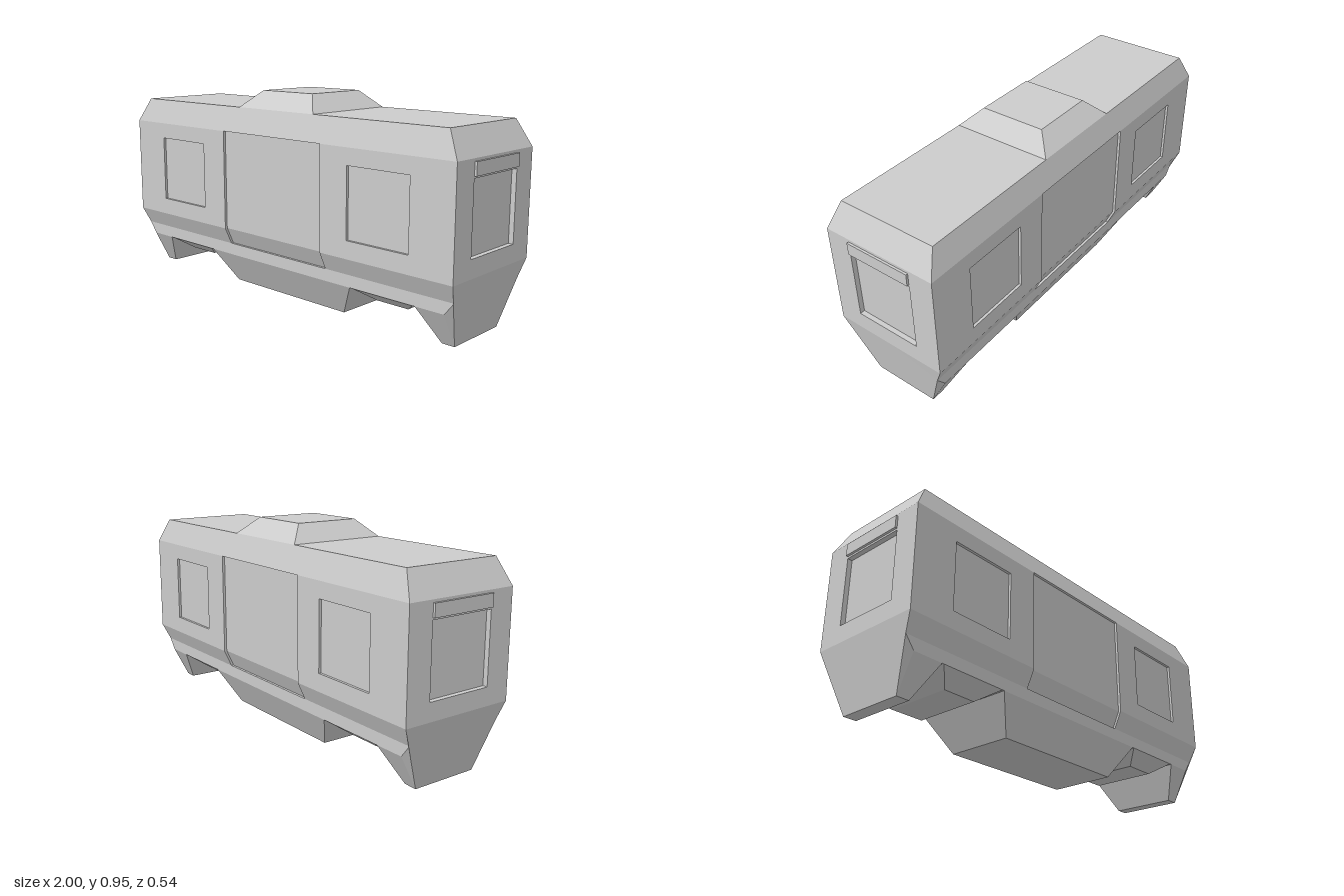
import * as THREE from 'three';

const material = new THREE.MeshStandardMaterial({ color: 0xcccccc, flatShading: true });

// Mesh from convex polygons of the +x +z part, mirrored across x and optionally z
function mirrored(name, polygons, mirrorZ = true) {
  const pos = [];
  for (const sx of [1, -1]) for (const sz of mirrorZ ? [1, -1] : [1]) {
    for (const poly of polygons) {
      const p = poly.map(([x, y, z]) => [x * sx, y, z * sz]);
      if (sx * sz < 0) p.reverse();
      for (let i = 1; i < p.length - 1; i++) pos.push(...p[0], ...p[i], ...p[i + 1]);
    }
  }
  const geo = new THREE.BufferGeometry();
  geo.setAttribute('position', new THREE.Float32BufferAttribute(pos, 3));
  geo.computeVertexNormals();
  const mesh = new THREE.Mesh(geo, material);
  mesh.name = name;
  return mesh;
}

// Box whose top and bottom have different half sizes
function taperedBox(name, x, y0, [hx0, hz0], y1, [hx1, hz1]) {
  const geo = new THREE.BoxGeometry(2, 2, 2).toNonIndexed();
  const p = geo.attributes.position;
  for (let i = 0; i < p.count; i++) {
    const top = p.getY(i) > 0;
    p.setXYZ(i, x + p.getX(i) * (top ? hx1 : hx0), top ? y1 : y0, p.getZ(i) * (top ? hz1 : hz0));
  }
  geo.computeVertexNormals();
  const mesh = new THREE.Mesh(geo, material);
  mesh.name = name;
  return mesh;
}

// Wall with a rectangular hole, plus the reveal and pane of the recessed window
function windowWall([a0, b0, a1, b1], [c0, d0, c1, d1], depth, place) {
  const ring = (u0, v0, u1, v1, d) =>
    [[u0, v0], [u1, v0], [u1, v1], [u0, v1]].map(([u, v]) => place(u, v, d));
  const outer = ring(a0, b0, a1, b1, 0);
  const inner = ring(c0, d0, c1, d1, 0);
  const pane = ring(c0, d0, c1, d1, depth);
  const wall = [], reveal = [];
  for (let i = 0; i < 4; i++) {
    const j = (i + 1) % 4;
    wall.push([outer[i], outer[j], inner[j], inner[i]]);
    reveal.push([inner[i], inner[j], pane[j], pane[i]]);
  }
  return { wall, window: [...reveal, pane] };
}

export function createModel() {
  const model = new THREE.Group();
  const X = 0.99, Z = 0.272, RX = 0.93, RZ = 0.235;   // wall and roof half sizes
  const Y0 = 0.155, Y1 = 0.21, Y2 = 0.29, Y3 = 0.76, Y4 = 0.875; // body levels
  const D = 0.31, DZ = 0.26, DZ1 = 0.223;             // door half width and depth
  const LX = 0.973, FZ = 0.155;                       // lower corner, foot half depth

  // Roof with sloped edges
  model.add(mirrored('roof', [
    [[0, Y3, Z], [X, Y3, Z], [RX, Y4, RZ], [0, Y4, RZ]],
    [[0, Y4, RZ], [RX, Y4, RZ], [RX, Y4, 0], [0, Y4, 0]],
    [[X, Y3, Z], [X, Y3, 0], [RX, Y4, 0], [RX, Y4, RZ]],
  ]));

  // Side and end walls with recessed windows
  const side = windowWall([D, Y2, X, Y3], [0.46, 0.37, 0.78, 0.685], 0.012,
    (u, v, d) => [u, v, Z - d]);
  model.add(mirrored('sideWalls', side.wall), mirrored('sideWindows', side.window));
  const end = windowWall([-Z, Y2, Z, Y3], [-0.155, 0.37, 0.155, 0.683], 0.022,
    (u, v, d) => [X - d, v, -u]);
  model.add(mirrored('endWalls', end.wall, false), mirrored('endWindows', end.window, false));

  // Recessed doors that follow the inward slope of the wall
  model.add(mirrored('doors', [
    [[0, Y2, DZ], [D, Y2, DZ], [D, Y3, DZ], [0, Y3, DZ]],
    [[0, Y1, DZ1], [D, Y1, DZ1], [D, Y2, DZ], [0, Y2, DZ]],
    [[0, Y1, RZ], [D, Y1, RZ], [D, Y1, DZ1], [0, Y1, DZ1]],
    [[0, Y3, DZ], [D, Y3, DZ], [D, Y3, Z], [0, Y3, Z]],
    [[D, Y2, DZ], [D, Y2, Z], [D, Y3, Z], [D, Y3, DZ]],
    [[D, Y1, DZ1], [D, Y1, RZ], [D, Y2, Z], [D, Y2, DZ]],
  ]));

  // Lower slope, skirt and floor
  model.add(mirrored('skirt', [
    [[D, Y1, RZ], [LX, Y1, RZ], [X, Y2, Z], [D, Y2, Z]],
    [[0, Y0, RZ], [RX, Y0, RZ], [LX, Y1, RZ], [0, Y1, RZ]],
    [[0, Y0, 0], [RX, Y0, 0], [RX, Y0, RZ], [0, Y0, RZ]],
  ]));

  // End bumpers reaching the ground
  model.add(mirrored('endBumpers', [
    [[RX, 0, FZ], [RX, 0, 0], [X, Y2, 0], [X, Y2, Z], [LX, Y1, RZ]],
    [[RX, Y0, RZ], [RX, 0, FZ], [LX, Y1, RZ]],
    [[0.87, 0, FZ], [RX, 0, FZ], [RX, Y0, RZ], [0.79, Y0, RZ]],
    [[0.87, 0, 0], [RX, 0, 0], [RX, 0, FZ], [0.87, 0, FZ]],
    [[0.87, 0, 0], [0.87, 0, FZ], [0.79, Y0, RZ], [0.79, Y0, 0]],
  ]));

  // Roof unit, underbody and the two bogie housings
  model.add(taperedBox('roofUnit', 0, Y4, [0.235, RZ], 0.953, [0.155, 0.155]));
  model.add(taperedBox('underbody', 0, 0, [0.35, FZ], Y0, [0.45, RZ]));
  for (const s of [1, -1]) {
    model.add(taperedBox('bogieHousing', s * 0.62, 0.1, [0.08, FZ], Y0, [0.16, RZ]));
    // Destination board above each end window
    model.add(taperedBox('endBoard', s * 0.99, 0.692, [0.01, 0.155], 0.748, [0.01, 0.155]));
  }
  return model;
}
